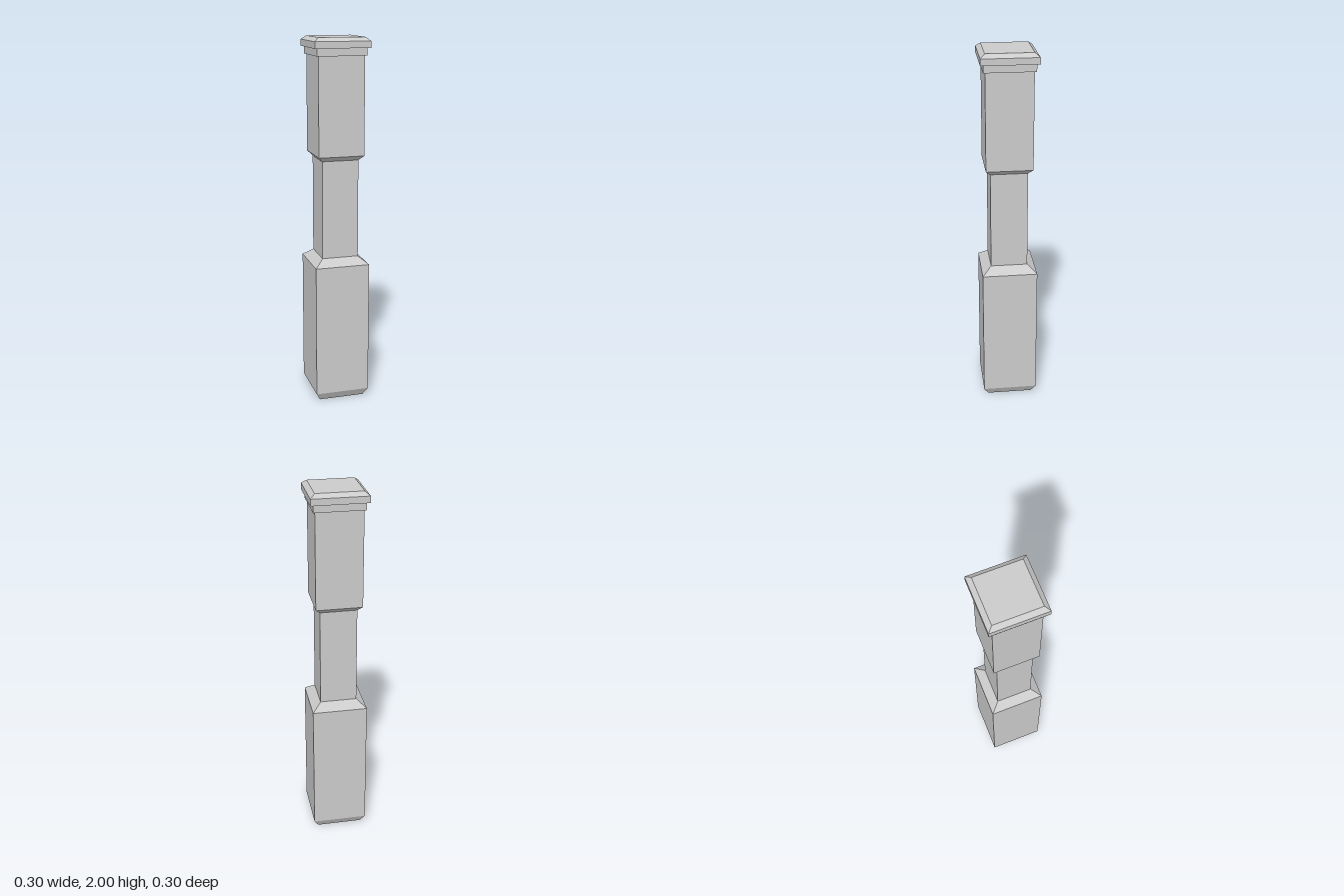
import * as THREE from 'three';

// Square section: turns a profile of [half width, height] about y in four flat sides
function squareTurned(name, profile, material) {
  const points = profile.map(([half, y]) => new THREE.Vector2(half * Math.SQRT2, y));
  const lathe = new THREE.LatheGeometry(points, 4, Math.PI / 4);
  const geometry = lathe.toNonIndexed();
  geometry.computeVertexNormals();
  const mesh = new THREE.Mesh(geometry, material);
  mesh.name = name;
  return mesh;
}

export function createModel() {
  const group = new THREE.Group();
  group.name = 'squarePost';
  const material = new THREE.MeshStandardMaterial({ color: 0xcccccc, flatShading: true });

  // Each part begins where the one below ends, so the post is one closed skin
  const parts = {
    // Wide foot block, chamfered underneath and sloping in at its shoulder
    base: [[0, 0], [0.125, 0], [0.15, 0.045], [0.15, 0.78], [0.1, 0.82]],
    // Narrow waist
    shaft: [[0.1, 0.82], [0.1, 1.355]],
    // Upper block with a chamfered lower edge
    upperBlock: [[0.1, 1.355], [0.125, 1.38], [0.125, 1.905]],
    // Stepped moulding under the cap
    collar: [[0.125, 1.905], [0.135, 1.905], [0.135, 1.945]],
    // Cap with a bevelled top
    cap: [[0.135, 1.945], [0.15, 1.945], [0.15, 1.98], [0.125, 2], [0, 2]],
  };
  for (const [name, profile] of Object.entries(parts)) {
    group.add(squareTurned(name, profile, material));
  }
  return group;
}
